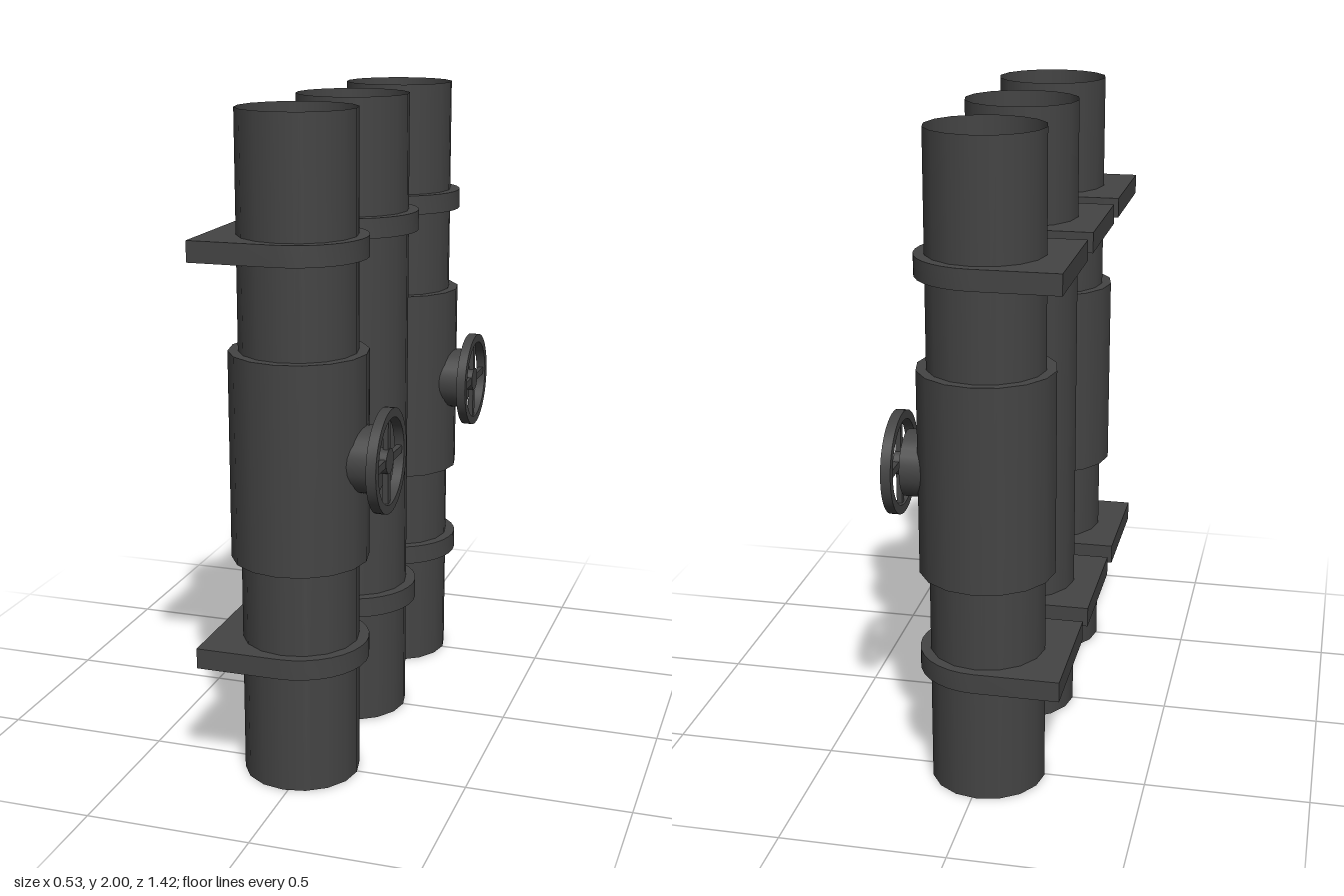
import * as THREE from 'three';
import { toCreasedNormals } from 'three/addons/utils/BufferGeometryUtils.js';

const AXIS_X = -0.015;   // pipe axis
const PIPE_R = 0.175;
const COLLAR_R = 0.205;
const SPACING = 0.505;

const darkSteel = new THREE.MeshStandardMaterial({ color: 0x444444, side: THREE.DoubleSide });
darkSteel.name = 'darkSteel';

function part(name, geometry, parent, x = 0, y = 0, z = 0) {
  const mesh = new THREE.Mesh(geometry, darkSteel);
  mesh.name = name;
  mesh.position.set(x, y, z);
  parent.add(mesh);
  return mesh;
}

// Extrusion with smooth curved sides and sharp rims
function extrude(shape, depth, curveSegments) {
  const geometry = new THREE.ExtrudeGeometry(shape, { depth, curveSegments, bevelEnabled: false });
  return toCreasedNormals(geometry, 0.6);
}

function circleHole(radius) {
  return new THREE.Path().absarc(0, 0, radius, 0, Math.PI * 2, true);
}

// D-shaped clamp reaching back to the wall, with a hole for the pipe
function bracketGeometry() {
  const shape = new THREE.Shape();
  shape.moveTo(-0.255, -COLLAR_R);
  shape.lineTo(0, -COLLAR_R);
  shape.absarc(0, 0, COLLAR_R, -Math.PI / 2, Math.PI / 2, false);
  shape.lineTo(-0.255, COLLAR_R);
  shape.closePath();
  shape.holes.push(circleHole(PIPE_R));
  return extrude(shape, 0.062, 8).rotateX(-Math.PI / 2);
}

// Cylinder lying along x from x0 to x1
function axle(radius, x0, x1) {
  return new THREE.CylinderGeometry(radius, radius, x1 - x0, 24)
    .rotateZ(-Math.PI / 2).translate((x0 + x1) / 2, 0, 0);
}

// Bonnet, stem and four-spoke handwheel facing +x
function createValve() {
  const valve = new THREE.Group();
  valve.name = 'valve';
  part('bonnet', axle(0.1, 0.1, 0.225), valve);
  part('stem', axle(0.038, 0.22, 0.26), valve);

  const ring = new THREE.Shape().absarc(0, 0, 0.155, 0, Math.PI * 2, false);
  ring.holes.push(circleHole(0.128));
  part('wheelRim', extrude(ring, 0.03, 24).rotateY(Math.PI / 2), valve, 0.235);
  for (let i = 0; i < 4; i++) {
    const spoke = part('wheelSpoke', new THREE.BoxGeometry(0.016, 0.105, 0.024).translate(0, 0.083, 0), valve, 0.25);
    spoke.rotation.x = i * Math.PI / 2;
  }
  return valve;
}

export function createModel() {
  const model = new THREE.Group();
  model.name = 'pipeRack';
  const pipe = new THREE.CylinderGeometry(PIPE_R, PIPE_R, 2, 16, 1, true);
  const sleeve = new THREE.CylinderGeometry(COLLAR_R, COLLAR_R, 0.625, 16);
  const bracket = bracketGeometry();

  for (const i of [-1, 0, 1]) {
    const line = new THREE.Group();
    line.name = 'pipeLine';
    line.position.z = i * SPACING;
    model.add(line);
    part('pipe', pipe, line, AXIS_X, 1);
    for (const y of [0.37, 1.583]) part('wallBracket', bracket, line, AXIS_X, y);

    // Only the outer pipes carry valves
    if (i !== 0) {
      part('valveSleeve', sleeve, line, AXIS_X, 0.9975);
      const valve = createValve();
      valve.position.y = 1;
      line.add(valve);
    }
  }
  return model;
}
